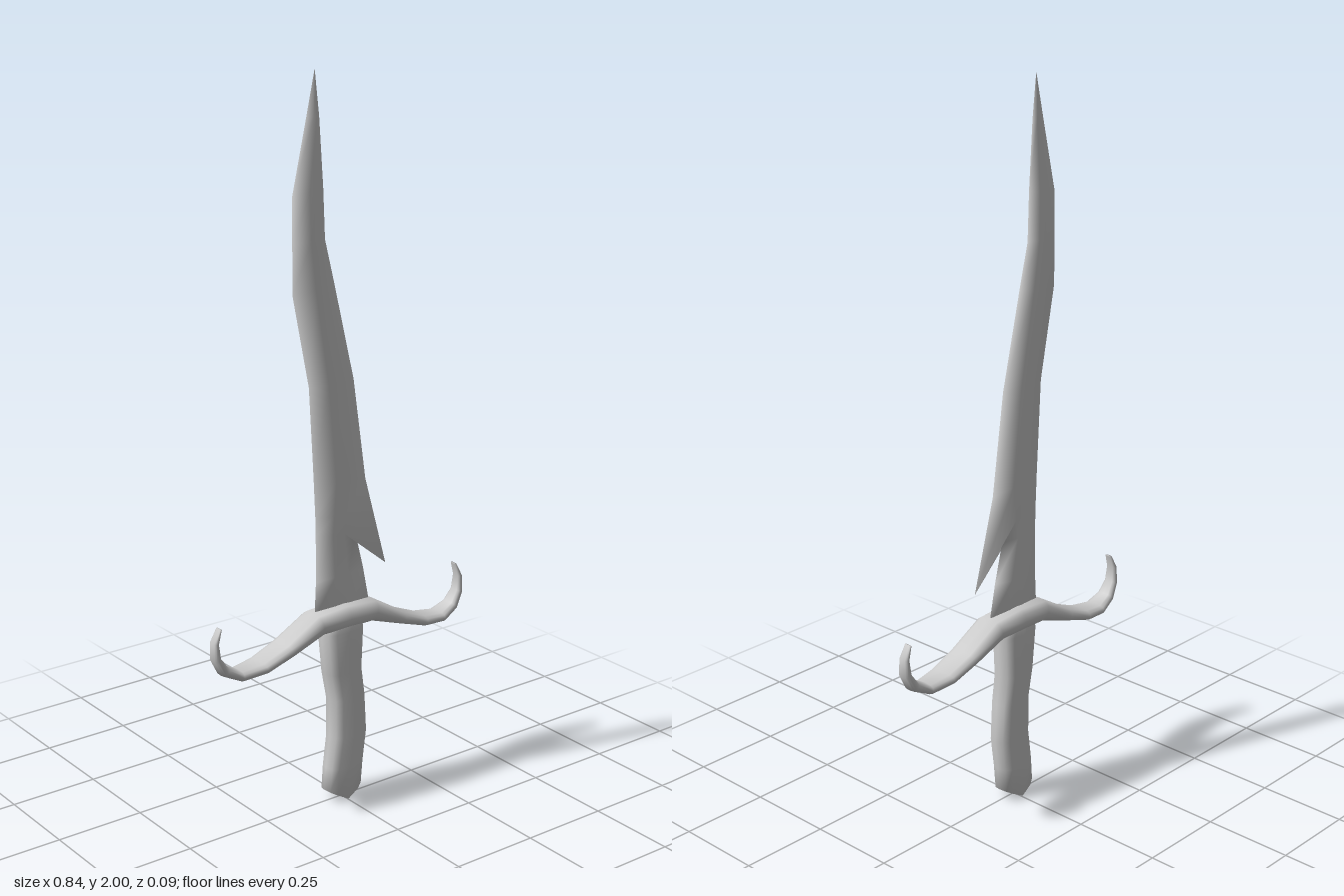
import * as THREE from 'three';

const material = new THREE.MeshStandardMaterial({ color: 0xcccccc });

// Skin a closed surface over a list of equal-length rings of [x, y, z]
function loft(name, rings, startTip) {
  const n = rings[0].length;
  const last = (rings.length - 1) * n;
  const points = rings.flat();
  const index = [];
  const average = (ring) => [0, 1, 2].map((k) => ring.reduce((s, p) => s + p[k], 0) / n);
  const start = points.push(startTip || average(rings[0])) - 1;
  const end = points.push(average(rings[rings.length - 1])) - 1;
  for (let i = 0; i < n; i++) {
    const j = (i + 1) % n;
    for (let r = 0; r < last; r += n) {
      index.push(r + i, r + n + i, r + j, r + j, r + n + i, r + n + j);
    }
    index.push(start, i, j, end, last + j, last + i);
  }
  const geometry = new THREE.BufferGeometry();
  geometry.setAttribute('position', new THREE.Float32BufferAttribute(points.flat(), 3));
  geometry.setIndex(index);
  geometry.computeVertexNormals();
  const mesh = new THREE.Mesh(geometry, material);
  mesh.name = name;
  return mesh;
}

// Rounded-square power curve
const soft = (v, e) => Math.sign(v) * Math.abs(v) ** e;
const angles = (n) => Array.from({ length: n }, (_, i) => (i / n) * Math.PI * 2);

// Blade: each row is left edge x, y, right edge x, y, half thickness
function makeBlade() {
  const rows = [
    [-0.09, 0.55, 0.095, 0.55, 0.007],
    [-0.085, 0.65, 0.073, 0.66, 0.01],
    [-0.085, 0.78, 0.045, 0.77, 0.015],
    [-0.086, 0.83, 0.15, 0.655, 0.016], // barb
    [-0.091, 0.94, 0.08, 0.91, 0.017],
    [-0.105, 1.19, 0.04, 1.19, 0.017],
    [-0.155, 1.44, -0.022, 1.45, 0.015],
    [-0.154, 1.57, -0.052, 1.57, 0.014],
    [-0.153, 1.69, -0.057, 1.7, 0.012],
    [-0.109, 1.88, -0.069, 1.88, 0.006],
    [-0.083, 1.995, -0.082, 1.995, 0.0005],
  ];
  const rings = rows.map(([lx, ly, rx, ry, t], i) => {
    const barb = i === 3;
    const inner = barb ? 0.055 : rx; // ridges ignore the barb overhang
    const y = barb ? 0.83 : (ly + ry) / 2;
    const upper = i > 5;
    const a = lx + (inner - lx) * (upper ? 0.48 : 0.36);
    const b = lx + (inner - lx) * (upper ? 0.7 : 0.64);
    return [[rx, ry, 0], [b, y, t], [a, y, t], [lx, ly, 0], [a, y, -t], [b, y, -t]];
  });
  return loft('blade', rings);
}

// Crossguard: half path of x, y, half height, half depth, mirrored to both sides
function makeGuard() {
  const half = [
    [0.09, 0.537, 0.031, 0.047],
    [0.19, 0.491, 0.018, 0.046],
    [0.27, 0.462, 0.015, 0.043],
    [0.34, 0.455, 0.014, 0.034],
    [0.385, 0.477, 0.014, 0.025],
    [0.408, 0.515, 0.011, 0.019],
    [0.41, 0.56, 0.008, 0.015],
    [0.395, 0.597, 0.003, 0.011],
  ];
  const mirrored = half.map(([x, ...rest]) => [-x, ...rest]).reverse();
  const path = [...mirrored, [0, 0.54, 0.034, 0.047], ...half];
  const rings = path.map(([x, y, h, d], i) => {
    const p = path[Math.max(i - 1, 0)];
    const q = path[Math.min(i + 1, path.length - 1)];
    const length = Math.hypot(q[0] - p[0], q[1] - p[1]);
    const tx = (q[0] - p[0]) / length;
    const ty = (q[1] - p[1]) / length;
    return angles(12).map((a) => {
      const c = soft(Math.cos(a), 0.75) * h;
      return [x + ty * c, y - tx * c, soft(Math.sin(a), 0.75) * d];
    });
  });
  return loft('crossguard', rings);
}

// Grip: rows of y, left x, right x, half depth, with a wedge-shaped pommel end
function makeGrip() {
  const rows = [
    [0.035, -0.06, 0.058, 0.034],
    [0.1, -0.054, 0.063, 0.036],
    [0.19, -0.041, 0.074, 0.038],
    [0.3, -0.041, 0.067, 0.039],
    [0.38, -0.056, 0.056, 0.04],
    [0.5, -0.068, 0.062, 0.041],
    [0.56, -0.05, 0.05, 0.036],
  ];
  const rings = rows.map(([y, l, r, d], i) => angles(12).map((a) => {
    const c = soft(Math.cos(a), 0.75);
    const drop = i === 0 ? 0.032 * (1 - Math.abs(c)) : 0;
    return [(l + r) / 2 + (c * (r - l)) / 2, y - drop, soft(Math.sin(a), 0.75) * d];
  }));
  return loft('grip', rings, [0, 0, 0]);
}

export function createModel() {
  const dagger = new THREE.Group();
  dagger.name = 'dagger';
  dagger.add(makeBlade(), makeGuard(), makeGrip());
  return dagger;
}
